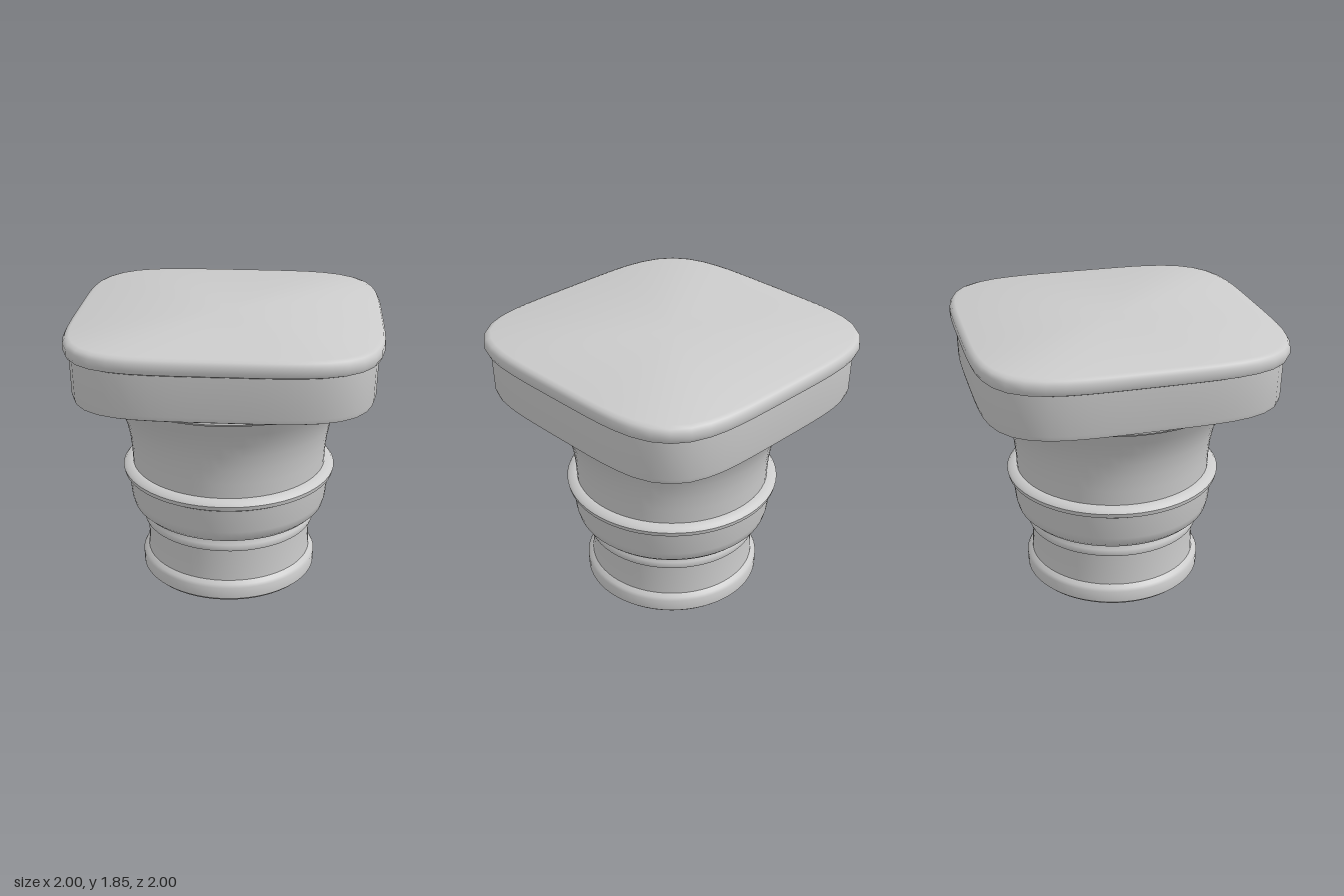
import * as THREE from 'three';
import { toCreasedNormals } from 'three/addons/utils/BufferGeometryUtils.js';

const material = new THREE.MeshStandardMaterial({ color: 0xcccccc });

// Closed turned solid from [radius, y] points, bottom to top. A power above 2
// squares the round section into a superellipse.
function turned(name, profile, power = 2) {
  const points = [
    new THREE.Vector2(0, profile[0][1]),
    ...profile.map(([r, y]) => new THREE.Vector2(r, y)),
    new THREE.Vector2(0, profile[profile.length - 1][1]),
  ];
  const geometry = new THREE.LatheGeometry(points, 64);
  const pos = geometry.attributes.position;
  for (let i = 0; i < pos.count; i++) {
    const x = pos.getX(i), z = pos.getZ(i);
    const r = Math.hypot(x, z);
    if (r < 1e-6) continue;
    const c = Math.abs(x / r), s = Math.abs(z / r);
    const k = Math.pow(c ** power + s ** power, -1 / power);
    pos.setXYZ(i, x * k, pos.getY(i), z * k);
  }
  const mesh = new THREE.Mesh(toCreasedNormals(geometry, 0.7), material);
  mesh.name = name;
  return mesh;
}

export function createModel() {
  const group = new THREE.Group();
  group.name = 'pedestalCapital';

  // Round foot with a rolled bottom edge
  group.add(turned('foot', [
    [0.58, 0], [0.6, 0.02], [0.602, 0.1], [0.59, 0.12], [0.565, 0.14],
    [0.56, 0.25], [0.563, 0.38],
  ]));
  group.add(turned('footCollar', [
    [0.585, 0.375], [0.59, 0.39], [0.585, 0.42], [0.57, 0.44], [0.57, 0.47],
  ]));

  // Bulged belt with a projecting lip
  group.add(turned('belt', [
    [0.59, 0.465], [0.625, 0.475], [0.655, 0.505], [0.67, 0.56], [0.685, 0.7],
    [0.69, 0.73],
  ]));
  group.add(turned('beltLip', [
    [0.69, 0.725], [0.715, 0.74], [0.722, 0.77], [0.705, 0.79], [0.66, 0.8],
  ]));

  // Flared bell under the slab
  group.add(turned('bell', [
    [0.655, 0.79], [0.66, 0.9], [0.67, 1.0], [0.69, 1.1], [0.72, 1.19],
    [0.765, 1.28], [0.825, 1.38],
  ]));
  group.add(turned('bellFlange', [
    [0.82, 1.37], [0.86, 1.385], [0.872, 1.4], [0.868, 1.425], [0.85, 1.445],
  ]));

  // Rounded square slab with an overhanging rim
  group.add(turned('slab', [
    [0.935, 1.44], [0.955, 1.45], [0.962, 1.48], [0.968, 1.75],
  ], 4.4));
  group.add(turned('slabRim', [
    [0.97, 1.74], [0.99, 1.75], [1.0, 1.775], [0.998, 1.815], [0.985, 1.838],
    [0.96, 1.848],
  ], 4.4));
  return group;
}
